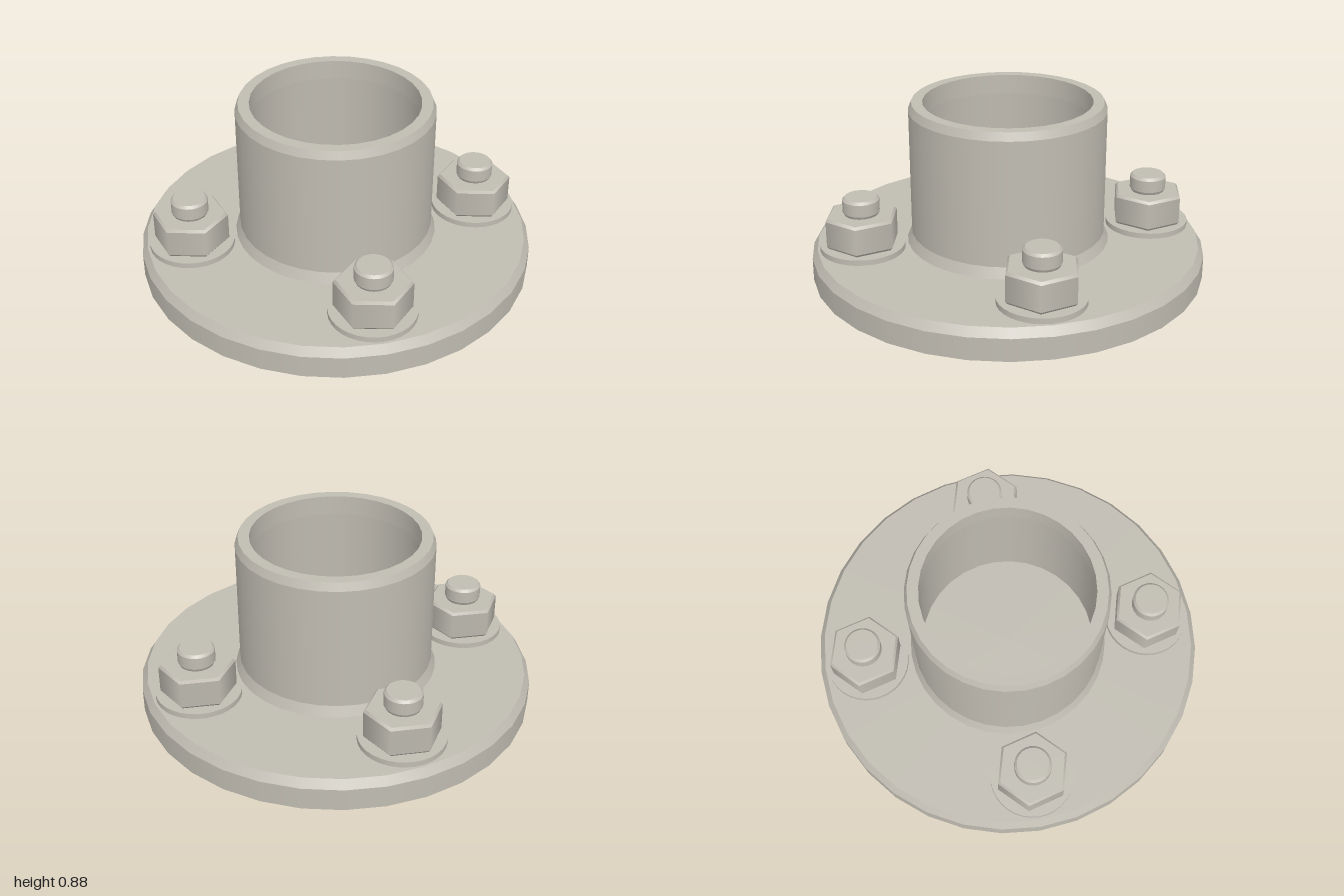
import * as THREE from 'three';
import { mergeGeometries } from 'three/addons/utils/BufferGeometryUtils.js';

// Turned solid: smooth around the axis, sharp at every profile point
function turned(profile, segments) {
  const bands = [];
  for (let i = 0; i < profile.length - 1; i++) {
    const pair = [profile[i], profile[i + 1]].map(([r, y]) => new THREE.Vector2(r, y));
    bands.push(new THREE.LatheGeometry(pair, segments));
  }
  return mergeGeometries(bands);
}

export function createModel() {
  const steel = new THREE.MeshStandardMaterial({ color: 0xc0bcb2 });
  steel.name = 'warm grey steel';
  const model = new THREE.Group();
  model.name = 'boltedFlange';

  function add(parent, name, geometry) {
    const mesh = new THREE.Mesh(geometry, steel);
    mesh.name = name;
    parent.add(mesh);
    return mesh;
  }

  // Base disc with chamfered rim
  add(model, 'basePlate', turned([
    [0, 0], [1, 0], [1, 0.115], [0.972, 0.157], [0, 0.157],
  ], 32));

  // Hollow pipe: flared foot, chamfered rim, lip and slightly wider bore
  add(model, 'pipe', turned([
    [0.515, 0.157], [0.493, 0.21], [0.493, 0.845], [0.477, 0.885],
    [0.422, 0.885], [0.422, 0.785], [0.45, 0.157],
  ], 32));

  // Fasteners in the four corners
  const washer = turned([
    [0, 0.15], [0.213, 0.15], [0.213, 0.185], [0, 0.185],
  ], 32);
  const nut = turned([
    [0, 0.185], [0.176, 0.185], [0.188, 0.198], [0.188, 0.332], [0.176, 0.345], [0, 0.345],
  ], 6);
  const stud = turned([
    [0.082, 0.34], [0.092, 0.36], [0.092, 0.422], [0.08, 0.435], [0, 0.435],
  ], 24);
  for (const x of [-0.527, 0.527]) {
    for (const z of [-0.527, 0.527]) {
      const bolt = new THREE.Group();
      bolt.name = (z > 0 ? 'front' : 'back') + (x > 0 ? 'Left' : 'Right') + 'Bolt';
      bolt.position.set(x, 0, z);
      add(bolt, 'washer', washer);
      add(bolt, 'hexNut', nut);
      add(bolt, 'stud', stud);
      model.add(bolt);
    }
  }
  return model;
}
